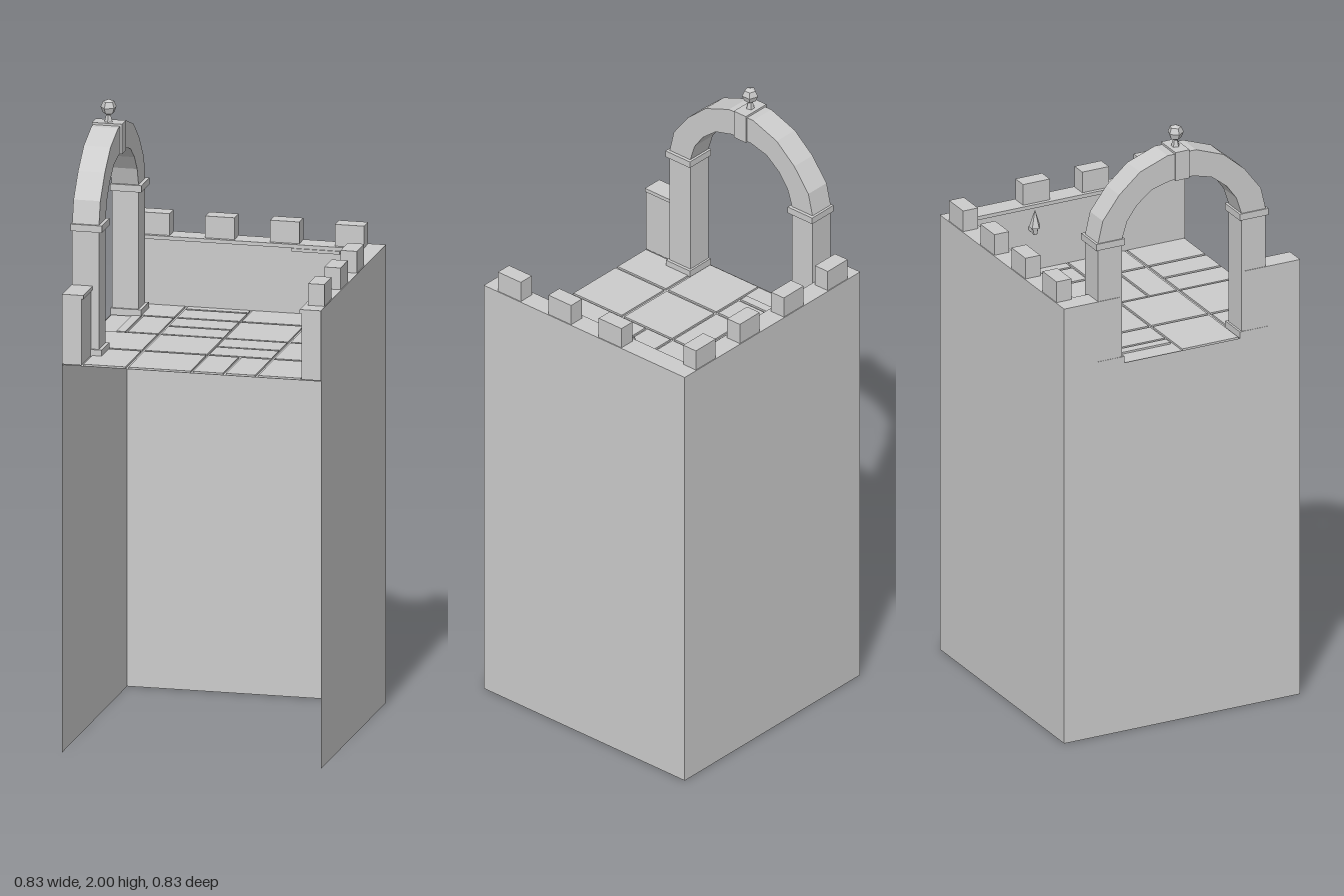
import * as THREE from 'three';

const FLOOR = 1.25, TOP = 1.475, OUT = 0.415, IN = 0.353;

export function createModel() {
  const model = new THREE.Group();
  model.name = 'towerTop';
  const stone = new THREE.MeshStandardMaterial({ color: 0xcccccc, side: THREE.DoubleSide, flatShading: true });
  stone.name = 'grey stone';

  const add = (name, geometry, parent = model) => {
    const mesh = new THREE.Mesh(geometry, stone);
    mesh.name = name;
    parent.add(mesh);
    return mesh;
  };
  const group = (name) => {
    const g = new THREE.Group();
    g.name = name;
    model.add(g);
    return g;
  };
  // Box given by its minimum and maximum on each axis
  const box = (name, x0, x1, y0, y1, z0, z1, parent) =>
    add(name, new THREE.BoxGeometry(x1 - x0, y1 - y0, z1 - z0)
      .translate((x0 + x1) / 2, (y0 + y1) / 2, (z0 + z1) / 2), parent);

  // Thin shaft walls, open at the front and the bottom
  const shaft = group('shaft');
  const panel = () => new THREE.PlaneGeometry(2 * OUT, FLOOR);
  add('backShaftWall', panel().rotateY(Math.PI).translate(0, FLOOR / 2, -OUT), shaft);
  for (const s of [-1, 1]) {
    add(s < 0 ? 'rightShaftWall' : 'leftShaftWall',
      panel().rotateY(s * Math.PI / 2).translate(s * OUT, FLOOR / 2, 0), shaft);
  }

  // Floor with raised paving: [x0, x1, z0, z1]
  const floor = group('floor');
  add('floorBase', new THREE.PlaneGeometry(2 * OUT, 2 * OUT).rotateX(-Math.PI / 2).translate(0, FLOOR - 0.003, 0), floor);
  const tiles = [
    [-0.347, -0.213, -0.35, -0.213], [-0.347, -0.318, -0.203, -0.006], [-0.309, -0.213, -0.203, -0.006],
    [-0.41, -0.213, 0.003, 0.2], [-0.347, -0.213, 0.211, 0.411],
    [-0.203, -0.004, -0.35, -0.32], [-0.203, -0.004, -0.31, -0.213], [-0.203, -0.004, -0.203, -0.11],
    [-0.203, -0.004, -0.1, -0.006], [-0.203, -0.004, 0.003, 0.2], [-0.203, -0.004, 0.211, 0.411],
    [0.004, 0.203, -0.35, -0.213], [0.004, 0.203, -0.203, -0.006], [0.004, 0.203, 0.003, 0.098],
    [0.004, 0.203, 0.107, 0.2], [0.004, 0.1, 0.211, 0.411], [0.11, 0.203, 0.211, 0.411],
    [0.213, 0.35, -0.35, -0.213], [0.213, 0.308, -0.203, -0.006], [0.317, 0.35, -0.203, -0.006],
    [0.213, 0.35, 0.003, 0.2], [0.213, 0.35, 0.211, 0.411],
  ];
  for (const [x0, x1, z0, z1] of tiles) box('pavingTile', x0, x1, FLOOR - 0.003, FLOOR + 0.003, z0, z1, floor);

  // Parapet walls with a slightly overhanging coping
  const parapet = group('parapet');
  const lip = 0.347, under = TOP - 0.012;
  box('backParapet', -OUT, OUT, FLOOR, under, -OUT, -IN, parapet);
  box('backCoping', -OUT, OUT, under, TOP, -OUT, -lip, parapet);
  box('leftParapet', IN, OUT, FLOOR, under, -IN, OUT, parapet);
  box('leftCoping', lip, OUT, under, TOP, -lip, OUT, parapet);
  for (const [z0, z1] of [[-IN, -0.22], [0.22, OUT]]) {
    box('doorwayParapet', -OUT, -IN, FLOOR, under, z0, z1, parapet);
    box('doorwayCoping', -OUT, -lip, under, TOP, z0, z1, parapet);
  }
  box('backRail', 0.13, 0.285, under - 0.01, under, -IN, -0.343, parapet);

  // Merlons along the back and left walls
  const merlons = group('merlons');
  for (const c of [-0.312, -0.104, 0.104, 0.312]) {
    box('backMerlon', c - 0.047, c + 0.047, TOP, 1.545, -0.412, -0.36, merlons);
    if (c > -0.2) box('leftMerlon', 0.36, 0.412, TOP, 1.545, c - 0.047, c + 0.047, merlons);
  }

  // Doorway arch: pillars with bases and capitals, then the curved span
  const arch = group('doorwayArch');
  for (const s of [-1, 1]) {
    const block = (name, x0, x1, y0, y1, a, b) =>
      box(name, x0, x1, y0, y1, Math.min(s * a, s * b), Math.max(s * a, s * b), arch);
    block('pillarBase', -0.416, -0.317, FLOOR, 1.272, 0.203, 0.302);
    block('pillar', -0.413, -0.327, 1.272, 1.65, 0.21, 0.295);
    block('capital', -0.417, -0.316, 1.65, 1.672, 0.202, 0.303);
  }
  const outer = [[0.295, 1.672], [0.278, 1.745], [0.22, 1.822], [0.147, 1.885], [0.05, 1.921]];
  const inner = [[0.04, 1.834], [0.105, 1.817], [0.158, 1.775], [0.192, 1.728], [0.21, 1.672]];
  const mirror = (pts) => pts.map(([z, y]) => [-z, y]).reverse();
  const outline = [...outer, ...mirror(outer), ...mirror(inner), ...inner]
    .map(([z, y]) => new THREE.Vector2(z, y));
  add('archSpan', new THREE.ExtrudeGeometry(new THREE.Shape(outline), { depth: 0.086, bevelEnabled: false })
    .rotateY(Math.PI / 2).translate(-0.413, 0, 0), arch);
  box('keystone', -0.418, -0.321, 1.832, 1.928, -0.025, 0.025, arch);
  add('finialStem', new THREE.CylinderGeometry(0.008, 0.014, 0.022, 5).translate(-0.37, 1.938, 0), arch);
  add('finialBall', new THREE.SphereGeometry(0.026, 5, 4).translate(-0.37, 1.974, 0), arch);

  // Wall torch on the left parapet
  const torch = group('wallTorch');
  box('torchBracket', 0.318, IN, 1.39, 1.402, -0.135, -0.121, torch);
  add('torchHolder', new THREE.CylinderGeometry(0.014, 0.007, 0.025, 5).translate(0.325, 1.398, -0.128), torch);
  add('torchFlame', new THREE.CylinderGeometry(0.001, 0.019, 0.057, 5).translate(0.325, 1.438, -0.128), torch);

  return model;
}
